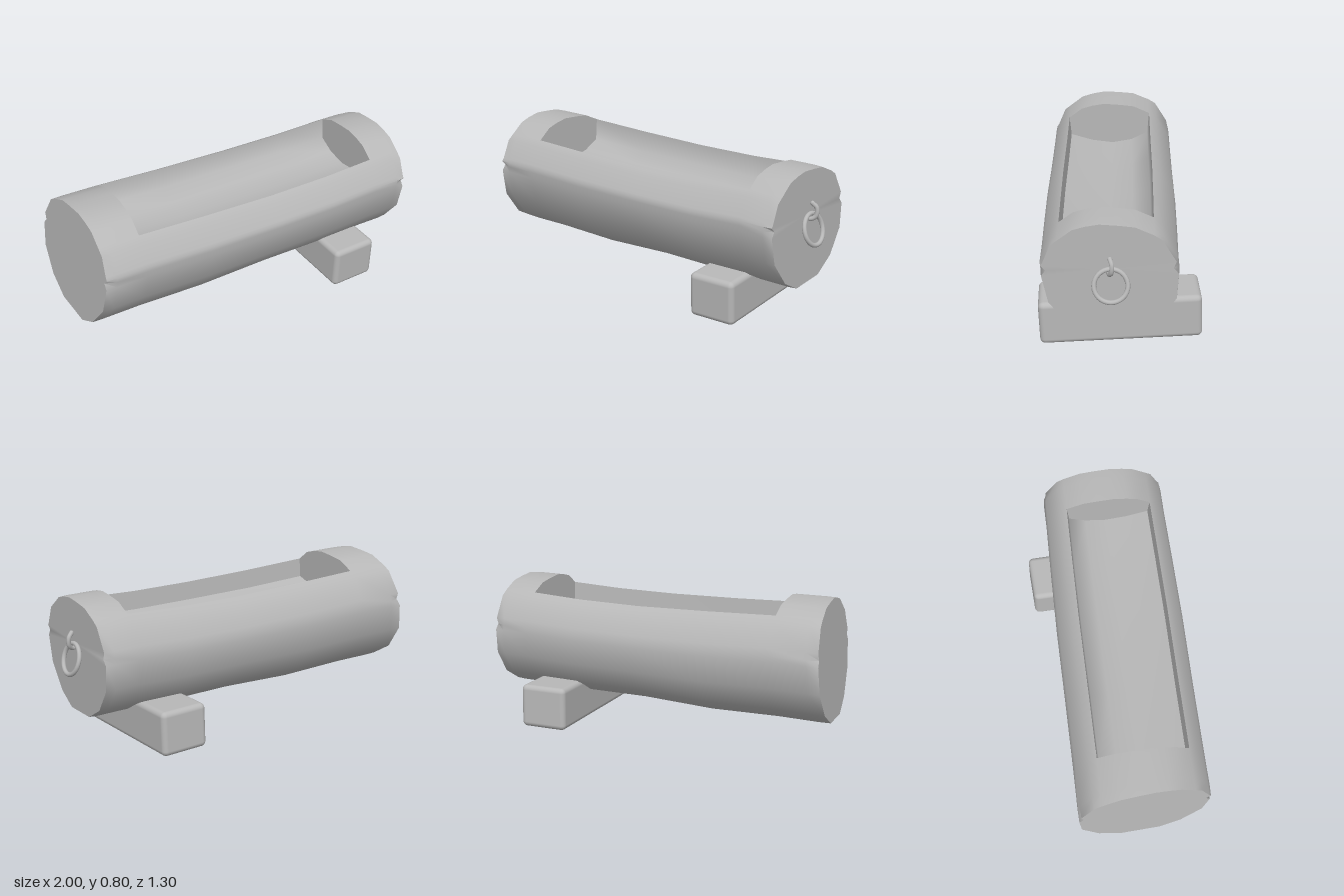
import * as THREE from 'three';
import { toCreasedNormals } from 'three/addons/utils/BufferGeometryUtils.js';
import { RoundedBoxGeometry } from 'three/addons/geometries/RoundedBoxGeometry.js';

// Log cross-section as [across, up] about its centre: front rim, down, under, up to back rim.
// The middle point of each side's three mid-height points becomes a notch at the log's ends.
const HULL = [
  [0.25, 0.222], [0.285, 0.195], [0.325, 0.1], [0.335, 0.085], [0.333, 0.06, 1], [0.332, 0.03],
  [0.3, -0.115], [0.195, -0.248], [0.085, -0.308], [-0.12, -0.295], [-0.24, -0.22],
  [-0.325, -0.09], [-0.333, 0.045], [-0.329, 0.075, 1], [-0.32, 0.11], [-0.25, 0.225], [-0.21, 0.25],
];
// Closing run from back rim to front rim: rounded top, or hollow trough.
const SOLID_TOP = [[-0.12, 0.29], [-0.04, 0.299], [0.05, 0.305], [0.12, 0.293], [0.18, 0.275]];
const HOLLOW_TOP = [[-0.2, 0.135], [-0.11, 0.09], [0, 0.07], [0.12, 0.085], [0.24, 0.12]];

// Stations along the log: position, width and height scale, lift, end-face slant and lean
const STATIONS = [
  { s: -0.932, w: 1.03, k: 1.04, notch: 0.022, skew: 0.06, lean: 0.08 },
  { s: -0.87, w: 1.035, k: 1.045, skew: 0.05, lean: 0.06 },
  { s: -0.677, w: 1.03, k: 1.04 },
  { s: -0.677, w: 1.03, k: 1.04, hollow: true },
  { s: -0.3, w: 1.03, k: 1.03, y: -0.012, hollow: true },
  { s: 0.1, w: 1.035, k: 0.98, y: -0.01, hollow: true },
  { s: 0.45, w: 1.02, k: 0.99, y: -0.01, hollow: true },
  { s: 0.742, w: 1.0, k: 1.0, hollow: true },
  { s: 0.742, w: 1.0, k: 1.0 },
  { s: 0.88, w: 1.0, k: 1.0 },
  { s: 0.931, w: 0.985, k: 0.99, notch: 0.022 },
];

function logGeometry() {
  const rings = STATIONS.map(({ s, w, k, y = 0, notch = 0, skew = 0, lean = 0, hollow }) =>
    [...HULL, ...(hollow ? HOLLOW_TOP : SOLID_TOP)].map(([t, h, knot]) => {
      const across = (t - (knot ? Math.sign(t) * notch : 0)) * w + 0.025;
      return new THREE.Vector3(s + skew * across + lean * h, 0.48 + y + h * k, across);
    }));
  const pos = [];
  const tri = (a, b, c) => {
    const area = b.clone().sub(a).cross(c.clone().sub(a)).length();
    if (area > 1e-7) for (const p of [a, b, c]) pos.push(p.x, p.y, p.z);
  };
  const n = rings[0].length;
  for (let i = 0; i < rings.length - 1; i++) {
    for (let j = 0; j < n; j++) {
      const m = (j + 1) % n;
      tri(rings[i][j], rings[i][m], rings[i + 1][m]);
      tri(rings[i][j], rings[i + 1][m], rings[i + 1][j]);
    }
  }
  // flat sawn ends
  const cap = (ring, right) => {
    const c = ring.reduce((a, p) => a.add(p), new THREE.Vector3()).divideScalar(n);
    ring.forEach((p, j) => {
      const q = ring[(j + 1) % n];
      if (right) tri(c, p, q); else tri(c, q, p);
    });
  };
  cap(rings[0], false);
  cap(rings[rings.length - 1], true);
  const g = new THREE.BufferGeometry();
  g.setAttribute('position', new THREE.Float32BufferAttribute(pos, 3));
  return toCreasedNormals(g, 1.1);
}

export function createModel() {
  const model = new THREE.Group();
  model.name = 'logTrough';
  const grey = new THREE.MeshStandardMaterial({ color: 0xb8b8b8 });
  grey.name = 'plain grey';
  const add = (parent, name, geometry) => {
    const mesh = new THREE.Mesh(geometry, grey);
    mesh.name = name;
    parent.add(mesh);
    return mesh;
  };

  // hollowed log with its end fittings, turned as one
  const log = new THREE.Group();
  log.name = 'log';
  log.rotation.y = 0.343;
  model.add(log);
  add(log, 'hollowLog', logGeometry());

  // hanging ring, its lower edge swung outward
  const swing = new THREE.Group();
  swing.name = 'ringMount';
  swing.position.set(0.962, 0.475, 0.02);
  swing.rotation.z = 0.3;
  log.add(swing);
  const ring = add(swing, 'ring', new THREE.TorusGeometry(0.081, 0.012, 10, 32));
  ring.rotation.y = Math.PI / 2;

  // hook holding the ring
  const hookPath = new THREE.CatmullRomCurve3([
    [0.91, 0.535, 0.034], [0.95, 0.53, 0.028], [0.972, 0.55, 0.018], [0.972, 0.59, 0.016], [0.952, 0.612, 0.025],
  ].map((p) => new THREE.Vector3(...p)));
  add(log, 'hook', new THREE.TubeGeometry(hookPath, 20, 0.012, 8));
  const tip = add(log, 'hookTip', new THREE.SphereGeometry(0.012, 8, 6));
  tip.position.set(0.952, 0.612, 0.025);

  // squared beam under one end
  const beam = add(model, 'supportBeam', new RoundedBoxGeometry(0.262, 0.236, 0.83, 3, 0.028));
  beam.position.set(0.542, 0.134, -0.217);
  beam.rotation.set(0.037, 0.385, 0, 'YXZ');

  return model;
}
